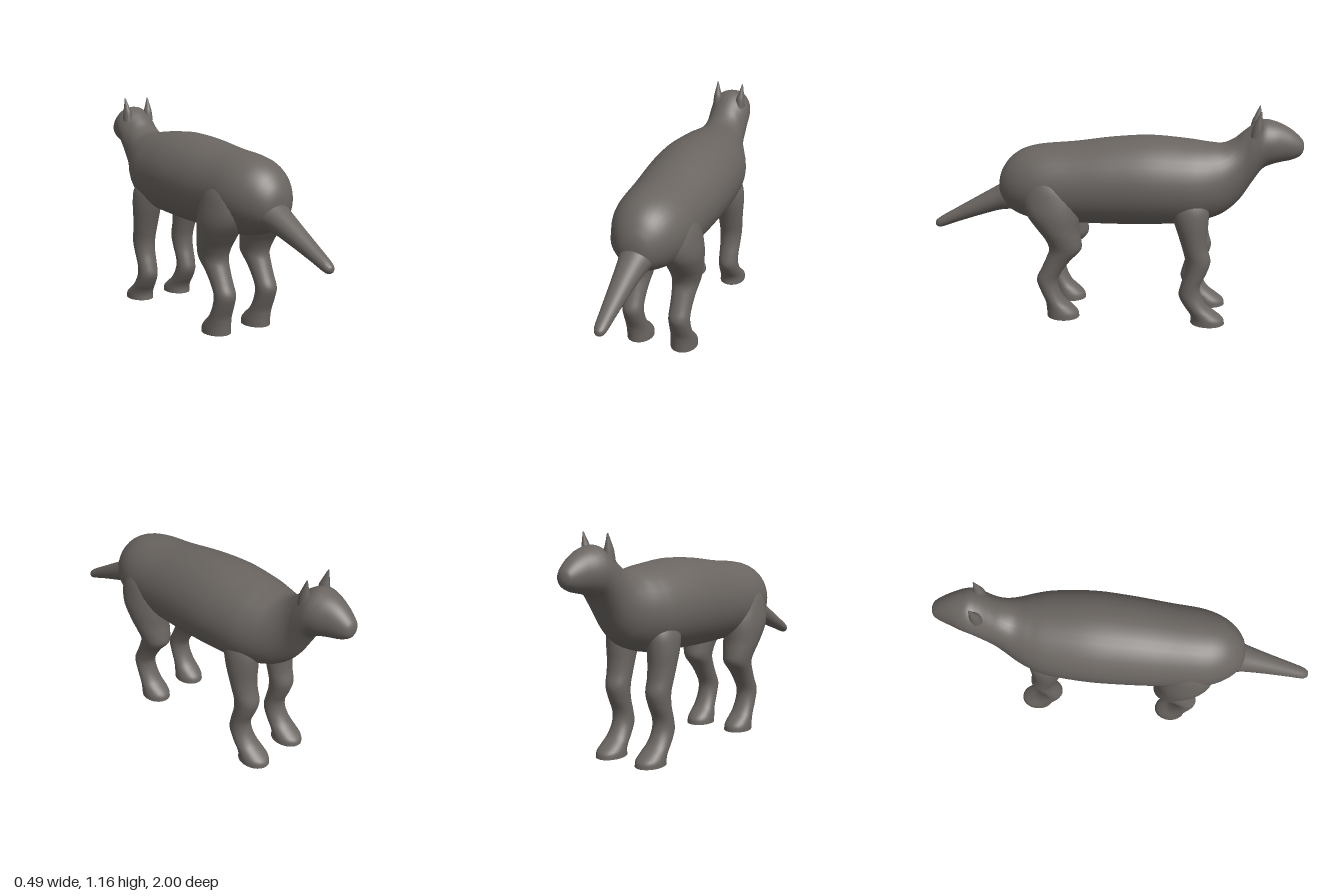
import * as THREE from 'three';

const fur = new THREE.MeshStandardMaterial({ color: 0x6a6561 });
fur.name = 'grey brown fur';

// Smooth skin through elliptical rings. Each ring: [along, low, high, xMin, xMax].
// 'z': rings stand upright and run toward +z, low/high are y.
// 'y': rings lie flat and run downward, low/high are z.
function loft(name, axis, rings, steps = 6, sides = 36) {
  const centre = [], radius = [];
  for (const [along, low, high, x0, x1] of rings) {
    const mid = (low + high) / 2;
    centre.push(axis === 'z'
      ? new THREE.Vector3((x0 + x1) / 2, mid, along)
      : new THREE.Vector3((x0 + x1) / 2, along, mid));
    radius.push(new THREE.Vector3((x1 - x0) / 2, (high - low) / 2, 0));
  }
  const centreCurve = new THREE.CatmullRomCurve3(centre, false, 'catmullrom', 0.5);
  const radiusCurve = new THREE.CatmullRomCurve3(radius, false, 'catmullrom', 0.5);
  const n = (rings.length - 1) * steps;
  const pos = [], index = [];

  const addRing = (t) => {
    const c = centreCurve.getPoint(t), r = radiusCurve.getPoint(t);
    for (let j = 0; j < sides; j++) {
      const a = (j / sides) * Math.PI * 2;
      const u = Math.cos(a) * r.x, v = Math.sin(a) * r.y;
      if (axis === 'z') pos.push(c.x + u, c.y + v, c.z);
      else pos.push(c.x + u, c.y, c.z + v);
    }
    return c;
  };

  for (let i = 0; i <= n; i++) addRing(i / n);
  for (let i = 0; i < n; i++) {
    for (let j = 0; j < sides; j++) {
      const k = (j + 1) % sides;
      const a = i * sides + j, b = i * sides + k;
      index.push(a, b, a + sides, b, b + sides, a + sides);
    }
  }
  // end caps with their own vertices, so the soles keep a crisp edge
  for (const end of [0, 1]) {
    const base = pos.length / 3;
    const c = addRing(end);
    pos.push(c.x, c.y, c.z);
    for (let j = 0; j < sides; j++) {
      const p = base + j, q = base + (j + 1) % sides;
      if (end) index.push(base + sides, p, q);
      else index.push(base + sides, q, p);
    }
  }
  const geo = new THREE.BufferGeometry();
  geo.setAttribute('position', new THREE.Float32BufferAttribute(pos, 3));
  geo.setIndex(index);
  geo.computeVertexNormals();
  const mesh = new THREE.Mesh(geo, fur);
  mesh.name = name;
  return mesh;
}

// Ring symmetric about x = 0
const mid = ([z, low, high, w]) => [z, low, high, -w, w];
// Ring moved to the left (+1) or right (-1) side
const onSide = (s) => ([a, low, high, x0, x1]) =>
  s > 0 ? [a, low, high, x0, x1] : [a, low, high, -x1, -x0];

export function createModel() {
  const model = new THREE.Group();
  model.name = 'animal';

  // head, neck and trunk: z, bottom, top, half width
  model.add(loft('body', 'z', [
    [-1, 0.965, 0.975, 0.004], [-0.995, 0.943, 0.998, 0.025],
    [-0.98, 0.922, 1.02, 0.045], [-0.94, 0.902, 1.055, 0.066],
    [-0.89, 0.89, 1.085, 0.086], [-0.84, 0.876, 1.103, 0.106],
    [-0.79, 0.85, 1.11, 0.117], [-0.74, 0.775, 1.087, 0.118],
    [-0.69, 0.692, 1.048, 0.119], [-0.64, 0.635, 1.005, 0.135],
    [-0.58, 0.592, 0.978, 0.165], [-0.5, 0.562, 0.981, 0.2],
    [-0.4, 0.54, 0.993, 0.226], [-0.2, 0.527, 1.006, 0.242],
    [0, 0.52, 0.991, 0.236], [0.2, 0.52, 0.962, 0.222],
    [0.38, 0.525, 0.943, 0.208], [0.48, 0.545, 0.918, 0.178],
    [0.55, 0.575, 0.874, 0.136], [0.595, 0.613, 0.815, 0.09],
    [0.615, 0.655, 0.765, 0.048], [0.62, 0.705, 0.715, 0.004],
  ].map(mid)));

  // tail
  model.add(loft('tail', 'z', [
    [0.48, 0.6, 0.8, 0.095], [0.57, 0.575, 0.748, 0.088],
    [0.63, 0.565, 0.708, 0.074], [0.75, 0.527, 0.638, 0.057],
    [0.88, 0.482, 0.562, 0.042], [0.96, 0.452, 0.515, 0.033],
    [0.985, 0.45, 0.497, 0.025], [0.997, 0.458, 0.486, 0.014],
    [1, 0.467, 0.475, 0.003],
  ].map(mid)));

  for (const s of [1, -1]) {
    const side = s > 0 ? 'left' : 'right';
    const place = onSide(s);

    // hind leg: y, front z, back z, inner x, outer x
    model.add(loft(side + 'HindLeg', 'y', [
      [0.86, 0.27, 0.38, 0.08, 0.15], [0.77, 0.21, 0.44, 0.05, 0.213],
      [0.68, 0.175, 0.465, 0.04, 0.237], [0.6, 0.165, 0.45, 0.035, 0.246],
      [0.52, 0.165, 0.395, 0.04, 0.238], [0.46, 0.157, 0.352, 0.05, 0.225],
      [0.4, 0.156, 0.331, 0.06, 0.21], [0.34, 0.21, 0.35, 0.07, 0.199],
      [0.28, 0.255, 0.377, 0.075, 0.193], [0.22, 0.286, 0.403, 0.076, 0.192],
      [0.16, 0.28, 0.386, 0.075, 0.192], [0.1, 0.25, 0.36, 0.07, 0.195],
      [0.06, 0.205, 0.353, 0.063, 0.199], [0.03, 0.178, 0.351, 0.058, 0.202],
      [0, 0.172, 0.35, 0.057, 0.202],
    ].map(place), 4, 28));

    // front leg
    model.add(loft(side + 'FrontLeg', 'y', [
      [0.74, -0.48, -0.36, 0.09, 0.17], [0.66, -0.52, -0.325, 0.06, 0.205],
      [0.58, -0.522, -0.34, 0.055, 0.213], [0.5, -0.517, -0.366, 0.06, 0.208],
      [0.43, -0.523, -0.388, 0.065, 0.202], [0.36, -0.54, -0.405, 0.068, 0.196],
      [0.29, -0.52, -0.403, 0.073, 0.192], [0.22, -0.49, -0.385, 0.076, 0.19],
      [0.16, -0.495, -0.375, 0.075, 0.19], [0.1, -0.53, -0.405, 0.07, 0.194],
      [0.06, -0.58, -0.433, 0.063, 0.198], [0.03, -0.618, -0.444, 0.058, 0.202],
      [0, -0.626, -0.442, 0.057, 0.202],
    ].map(place), 4, 28));

    // pointed ear
    model.add(loft(side + 'Ear', 'y', [
      [1.165, -0.772, -0.766, 0.073, 0.079], [1.14, -0.775, -0.754, 0.066, 0.083],
      [1.11, -0.779, -0.74, 0.056, 0.089], [1.08, -0.783, -0.728, 0.046, 0.094],
      [1.03, -0.785, -0.72, 0.045, 0.098],
    ].map(place), 4, 20));
  }

  return model;
}
